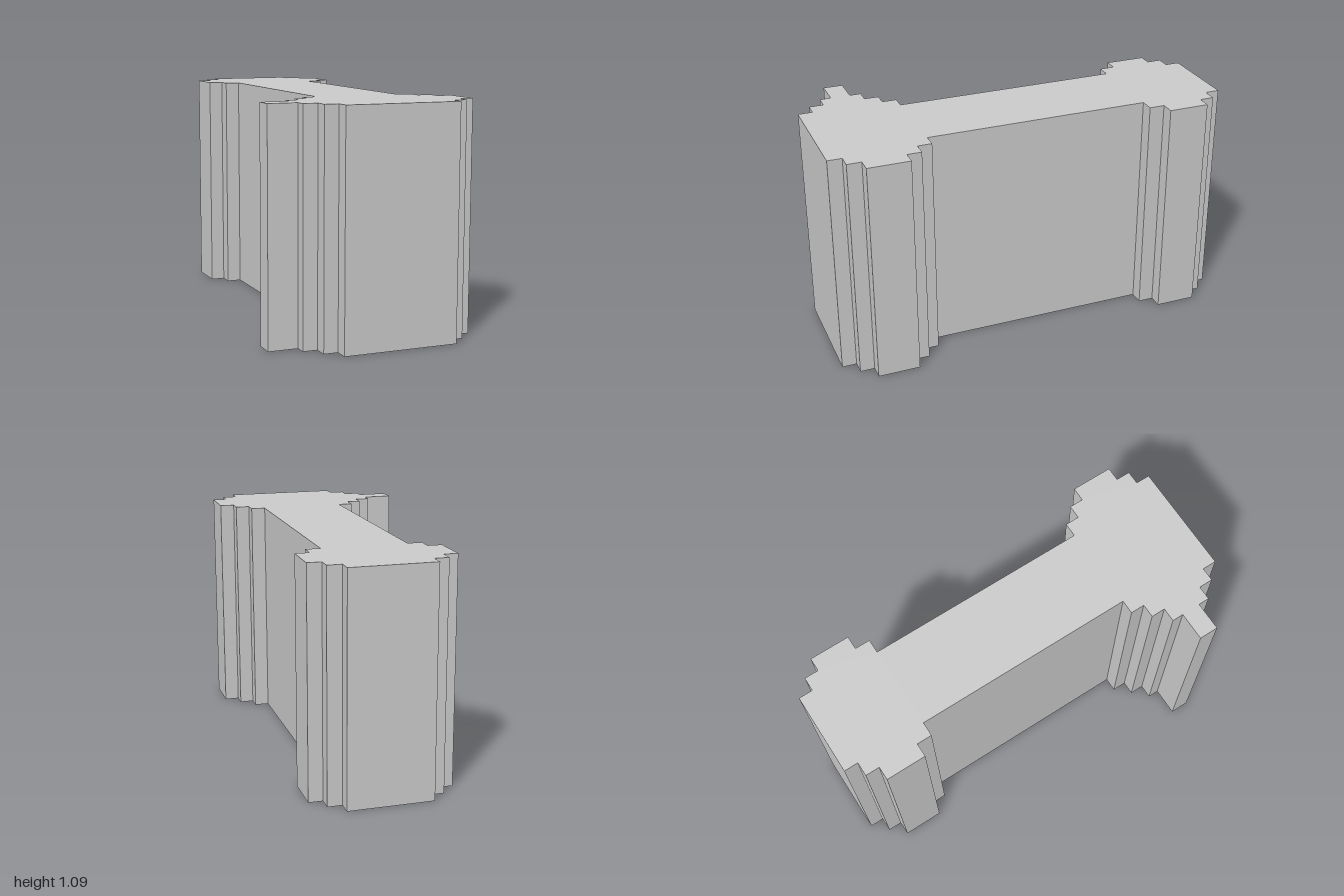
import * as THREE from 'three';

const HEIGHT = 1.09;
const CENTRE_X = 0.07;

// Stepped outline: half-width and the z range it covers, from back to front
const STEPS = [
  [0.205, -1, -0.93], [0.275, -0.93, -0.86], [0.343, -0.86, -0.66], [0.275, -0.66, -0.585],
  [0.205, -0.585, 0.515],
  [0.275, 0.515, 0.585], [0.343, 0.585, 0.655], [0.413, 0.655, 0.86],
  [0.343, 0.86, 0.93], [0.275, 0.93, 1],
];

// Closed plan outline as [x, z] points: +x side front-going, then mirrored back
function planOutline() {
  const side = STEPS.flatMap(([w, z0, z1]) => [[w, z0], [w, z1]]);
  const mirrored = side.map(([w, z]) => [-w, z]).reverse();
  return [...side, ...mirrored].map(([x, z]) => [x + CENTRE_X, z]);
}

// Upright wall strip following the outline
function wallGeometry(outline) {
  const positions = [];
  outline.forEach(([ax, az], i) => {
    const [bx, bz] = outline[(i + 1) % outline.length];
    positions.push(
      ax, 0, az, ax, HEIGHT, az, bx, HEIGHT, bz,
      ax, 0, az, bx, HEIGHT, bz, bx, 0, bz,
    );
  });
  const geometry = new THREE.BufferGeometry();
  geometry.setAttribute('position', new THREE.Float32BufferAttribute(positions, 3));
  geometry.computeVertexNormals();
  return geometry;
}

export function createModel() {
  const group = new THREE.Group();
  group.name = 'steppedPillarWall';
  const material = new THREE.MeshStandardMaterial({
    color: 0xcccccc, flatShading: true, side: THREE.DoubleSide,
  });
  const add = (name, geometry) => {
    const mesh = new THREE.Mesh(geometry, material);
    mesh.name = name;
    group.add(mesh);
    return mesh;
  };

  // Hollow shell, open underneath
  const outline = planOutline();
  add('outerWalls', wallGeometry(outline));

  // Flat roof closing the shell
  const roof = new THREE.Shape(outline.map(([x, z]) => new THREE.Vector2(x, -z)));
  add('roof', new THREE.ShapeGeometry(roof).rotateX(-Math.PI / 2).translate(0, HEIGHT, 0));

  // Solid fin standing out from the right side of the front pillar
  const finInner = CENTRE_X - 0.413;
  const finOuter = -0.485;
  add('sideFin', new THREE.BoxGeometry(finInner - finOuter, HEIGHT, 0.095))
    .position.set((finInner + finOuter) / 2, HEIGHT / 2, 0.758);

  return group;
}
